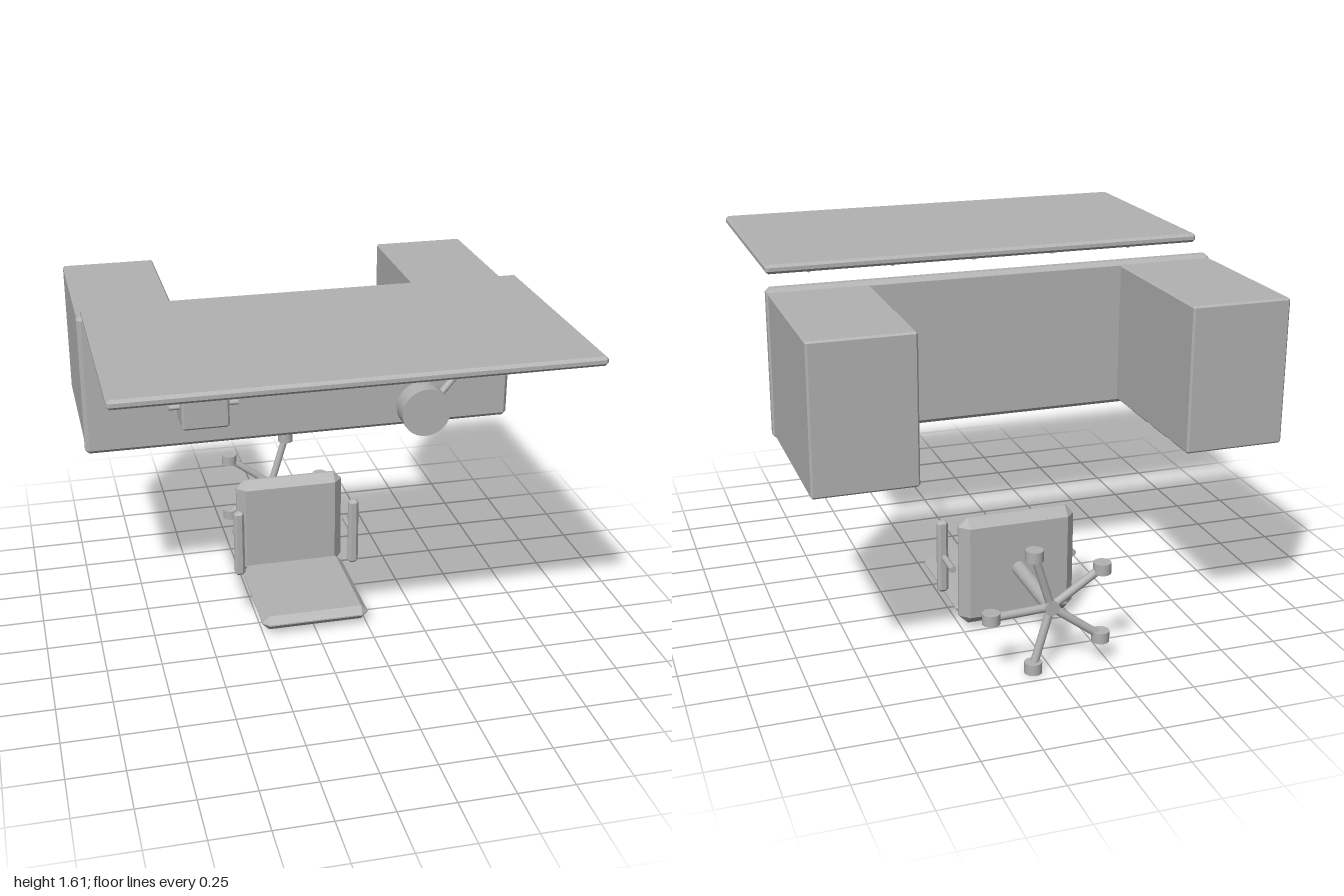
import * as THREE from 'three';
import { ConvexGeometry } from 'three/addons/geometries/ConvexGeometry.js';

const gray = new THREE.MeshStandardMaterial({ color: 0xb2b2b2 });
gray.name = 'plainGray';

function add(parent, name, geometry) {
  const mesh = new THREE.Mesh(geometry, gray);
  mesh.name = name;
  parent.add(mesh);
  return mesh;
}

function group(parent, name) {
  const g = new THREE.Group();
  g.name = name;
  parent.add(g);
  return g;
}

// Box with chamfered edges, given by its min and max corners
function bevelBox(parent, name, min, max, bevel) {
  const h = min.map((v, i) => (max[i] - v) / 2);
  const points = [];
  for (const sx of [-1, 1]) for (const sy of [-1, 1]) for (const sz of [-1, 1]) {
    for (let axis = 0; axis < 3; axis++) {
      const p = h.map((v, i) => (i === axis ? v : v - bevel));
      points.push(new THREE.Vector3(sx * p[0], sy * p[1], sz * p[2]));
    }
  }
  const mesh = add(parent, name, new ConvexGeometry(points));
  mesh.position.set(...min.map((v, i) => (v + max[i]) / 2));
  return mesh;
}

// Cylinder running from point a to point b
function rod(parent, name, a, b, radius, sides = 12) {
  const from = new THREE.Vector3(...a), to = new THREE.Vector3(...b);
  const dir = to.clone().sub(from);
  const mesh = add(parent, name, new THREE.CylinderGeometry(radius, radius, dir.length(), sides));
  mesh.position.copy(from).add(to).multiplyScalar(0.5);
  mesh.quaternion.setFromUnitVectors(new THREE.Vector3(0, 1, 0), dir.normalize());
  return mesh;
}

function buildDesk(parent) {
  const desk = group(parent, 'desk');
  bevelBox(desk, 'deskTop', [-1, 0.89, -0.222], [1, 1.545, -0.157], 0.018);
  for (const side of [-1, 1]) {
    const x = (inner, outer) => (side < 0 ? [-outer, -inner] : [inner, outer]);
    const [p0, p1] = x(0.565, 0.995);
    bevelBox(desk, 'pedestal', [p0, 0.907, -0.955], [p1, 1.53, -0.215], 0.008);
    // Three drawers with bar handles
    for (let i = 0; i < 3; i++) {
      const z = -0.412 - i * 0.204;
      const [d0, d1] = x(0.59, 0.97);
      bevelBox(desk, 'drawerFront', [d0, 0.883, z - 0.077], [d1, 0.91, z + 0.077], 0.008);
      const [h0, h1] = x(0.685, 0.875);
      rod(desk, 'drawerHandle', [h0, 0.868, z], [h1, 0.868, z], 0.007, 8);
    }
  }
}

function buildPegboard(parent) {
  const board = group(parent, 'pegboard');
  bevelBox(board, 'boardPanel', [-0.985, 1.575, -0.1], [0.98, 1.615, 0.96], 0.012);
  // Grid of small peg holes
  for (let c = 0; c < 15; c++) for (let r = 0; r < 8; r++) {
    const x = (c - 7) * 0.126, z = 0.028 + r * 0.121;
    rod(board, 'pegHole', [x, 1.557, z], [x, 1.565, z], 0.008, 8);
  }
  // Row of hanging tools, alternating in length
  for (let i = -4; i <= 4; i++) {
    const x = i * 0.188;
    const long = i % 2 === 0;
    const headZ = long ? 0.62 : 0.565;
    const tool = group(board, 'hangingTool');
    rod(tool, 'toolHandle', [x, 1.53, long ? 0.13 : 0.285], [x, 1.53, headZ], 0.015);
    rod(tool, 'toolHead', [x, 1.516, headZ], [x, 1.544, headZ], 0.04, 16);
  }
}

function buildDeskItems(parent) {
  // Vise-like block with a through bar
  const block = group(parent, 'benchBlock');
  bevelBox(block, 'blockBody', [-0.58, 1.035, -0.162], [-0.365, 1.215, 0.003], 0.01);
  rod(block, 'blockBar', [-0.63, 1.125, -0.067], [-0.315, 1.125, -0.067], 0.012);

  // Jointed lamp
  const lamp = group(parent, 'lamp');
  rod(lamp, 'lowerArm', [0.62, 1.28, -0.13], [0.62, 1.373, 0.308], 0.015);
  rod(lamp, 'upperArm', [0.62, 1.373, 0.308], [0.404, 1.222, 0.436], 0.015);
  rod(lamp, 'lampShade', [0.404, 1.218, 0.357], [0.404, 1.218, 0.45], 0.107, 32);
}

function buildChair(parent) {
  const chair = group(parent, 'chair');
  bevelBox(chair, 'upright', [-0.265, 0.03, -0.512], [0.265, 0.533, -0.42], 0.04);
  bevelBox(chair, 'slab', [-0.255, 0.028, -0.418], [0.255, 0.098, 0.143], 0.032);
  // Armrests on posts
  for (const s of [-1, 1]) {
    bevelBox(chair, 'armrest', [s * 0.285 - 0.025, 0.11, -0.311], [s * 0.285 + 0.025, 0.455, -0.272], 0.013);
    rod(chair, 'armPost', [s * 0.281, 0.28, -0.44], [s * 0.281, 0.28, -0.3], 0.015);
  }
  // Stem and five-legged base
  rod(chair, 'stem', [0, 0.28, -0.925], [0, 0.28, -0.5], 0.033, 16);
  for (let i = 0; i < 5; i++) {
    const a = i * Math.PI * 0.4;
    const x = 0.268 * Math.cos(a), y = 0.28 + 0.268 * Math.sin(a);
    rod(chair, 'baseLeg', [0, 0.28, -0.905], [x, y, -0.924], 0.018);
    rod(chair, 'caster', [x, y - 0.024, -0.925], [x, y + 0.024, -0.925], 0.038, 16);
  }
}

export function createModel() {
  const model = new THREE.Group();
  model.name = 'workstation';
  buildDesk(model);
  buildPegboard(model);
  buildDeskItems(model);
  buildChair(model);
  return model;
}
